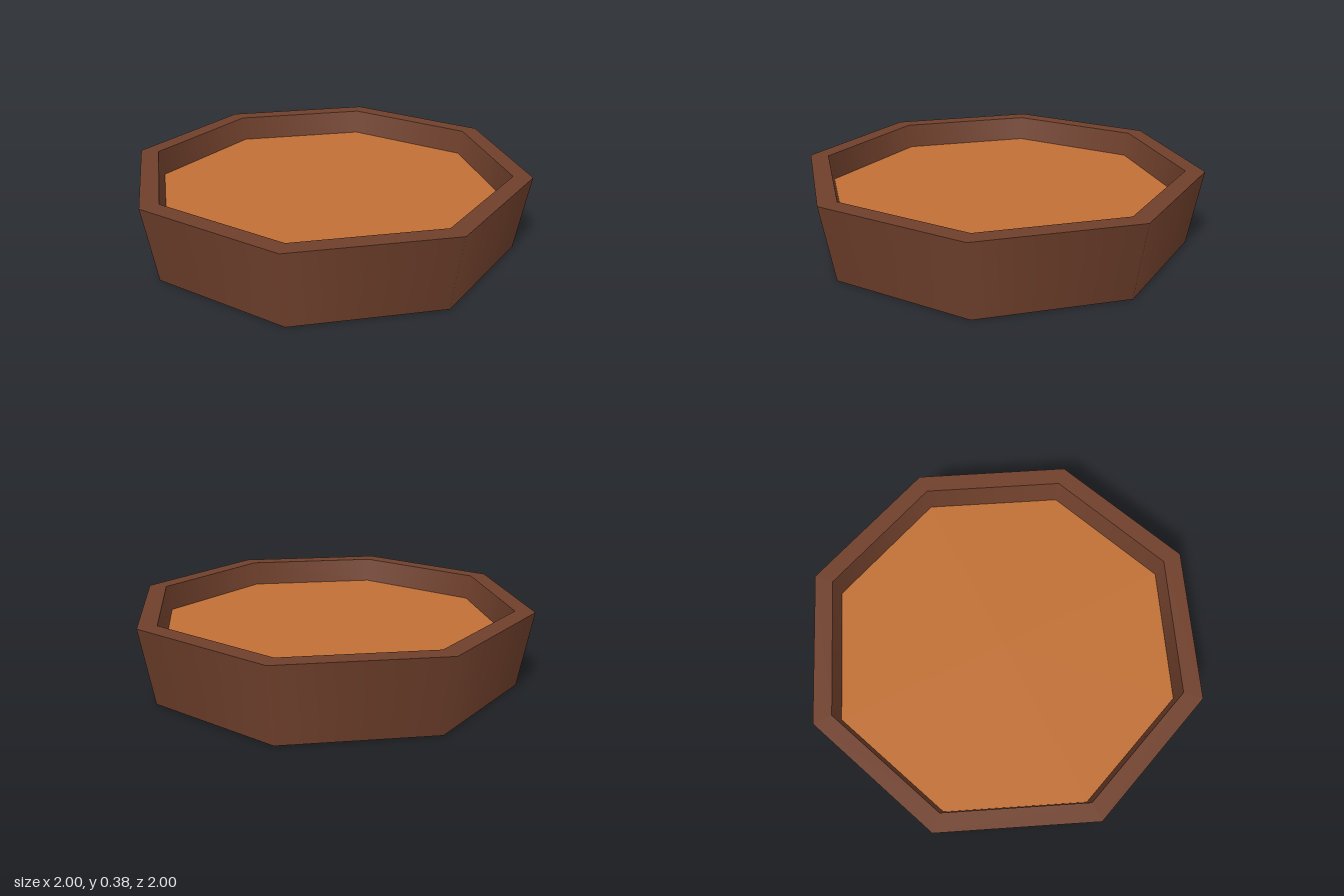
import * as THREE from 'three';

export function createModel() {
  const SIDES = 8, HEIGHT = 0.375, FLOOR_Y = 0.25;
  const group = new THREE.Group();
  group.name = 'octagonalTray';

  const brown = new THREE.MeshStandardMaterial({ color: 0x70402c, side: THREE.DoubleSide });
  brown.name = 'dark brown';
  const orange = new THREE.MeshStandardMaterial({ color: 0xc17035, side: THREE.DoubleSide });
  orange.name = 'warm orange';

  const add = (name, geometry, material, y) => {
    const mesh = new THREE.Mesh(geometry, material);
    mesh.name = name;
    mesh.position.y = y;
    group.add(mesh);
  };

  // Flared outer wall, open underneath
  add('outerWall', new THREE.CylinderGeometry(1, 0.935, HEIGHT, SIDES, 1, true), brown, HEIGHT / 2);

  // Flat rim joining the two walls
  add('rim', new THREE.RingGeometry(0.905, 1, SIDES, 1).rotateX(-Math.PI / 2), brown, HEIGHT);

  // Short inner wall down to the raised floor
  const depth = HEIGHT - FLOOR_Y;
  add('innerWall', new THREE.CylinderGeometry(0.905, 0.88, depth, SIDES, 1, true), brown, FLOOR_Y + depth / 2);

  // Thin raised floor, visible from both sides
  add('floor', new THREE.CircleGeometry(0.88, SIDES).rotateX(-Math.PI / 2), orange, FLOOR_Y);

  return group;
}
